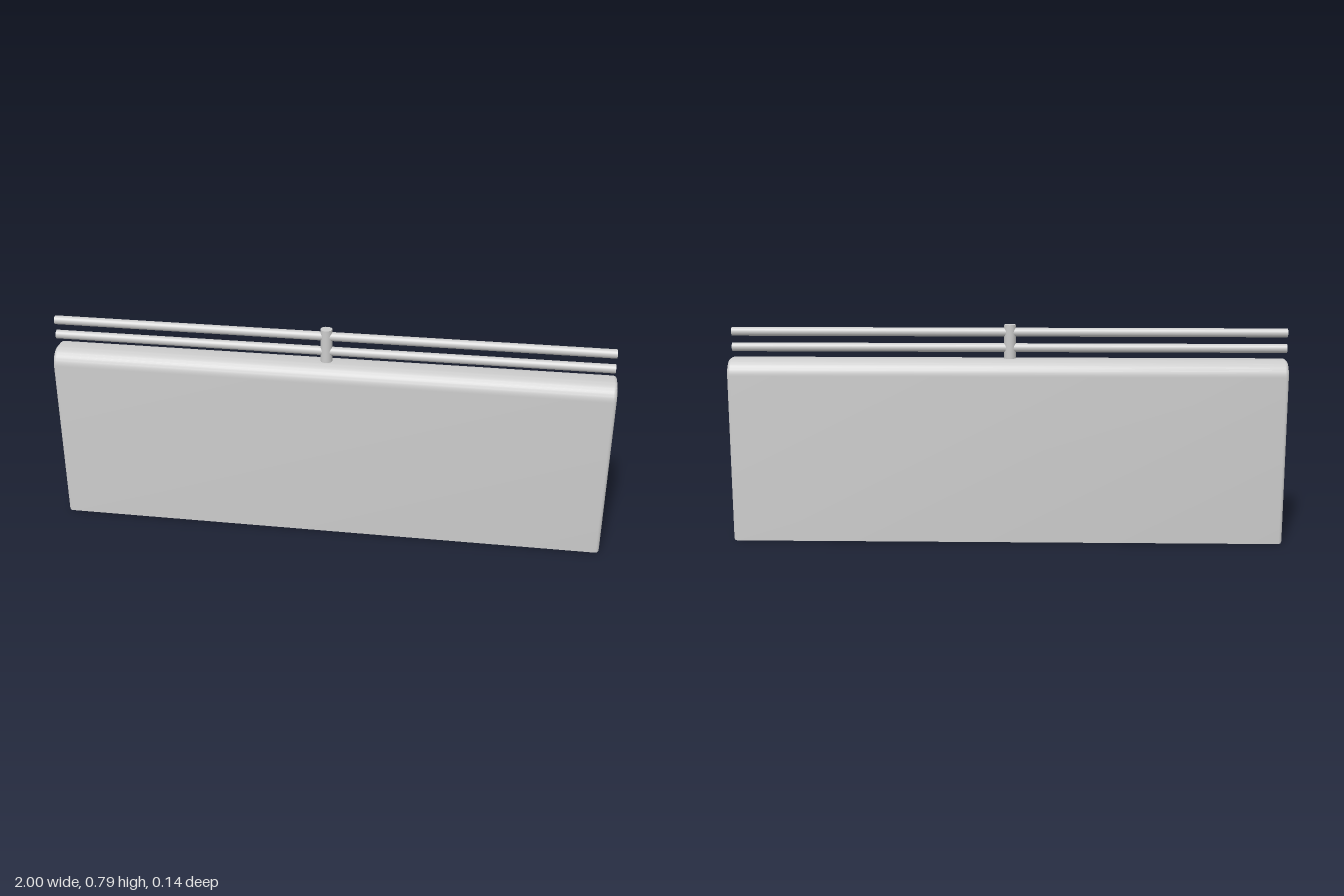
import * as THREE from 'three';
import { toCreasedNormals } from 'three/addons/utils/BufferGeometryUtils.js';

export function createModel() {
  const group = new THREE.Group();
  const material = new THREE.MeshStandardMaterial({ color: 0xcccccc });

  const add = (name, geometry, x, y) => {
    const mesh = new THREE.Mesh(geometry, material);
    mesh.name = name;
    mesh.position.set(x, y, 0);
    group.add(mesh);
  };

  // Wall panel: round-topped section extruded along x with small rounded end edges
  const bevel = 0.012, half = 0.06, bottom = 0.012, top = 0.655, r = 0.046;
  const section = new THREE.Shape();
  section.moveTo(-half, bottom);
  section.lineTo(half, bottom);
  section.lineTo(half, top - r);
  section.absarc(half - r, top - r, r, 0, Math.PI / 2);
  section.absarc(-half + r, top - r, r, Math.PI / 2, Math.PI);
  section.closePath();
  const depth = 2 - 2 * bevel;
  const panel = new THREE.ExtrudeGeometry(section, {
    depth, bevelSize: bevel, bevelThickness: bevel, bevelSegments: 3, curveSegments: 8,
  });
  panel.translate(0, 0, -depth / 2).rotateY(Math.PI / 2);
  add('wallPanel', toCreasedNormals(panel, 0.7), 0, 0);

  // Two long rails above the panel
  for (const [name, y] of [['lowerRail', 0.705], ['upperRail', 0.761]]) {
    const rail = new THREE.CylinderGeometry(0.016, 0.016, 1.99, 24).rotateZ(Math.PI / 2);
    add(name, rail, -0.005, y);
  }

  // Central post carrying the rails
  add('railPost', new THREE.CylinderGeometry(0.021, 0.021, 0.138, 24), -0.011, 0.719);

  return group;
}
